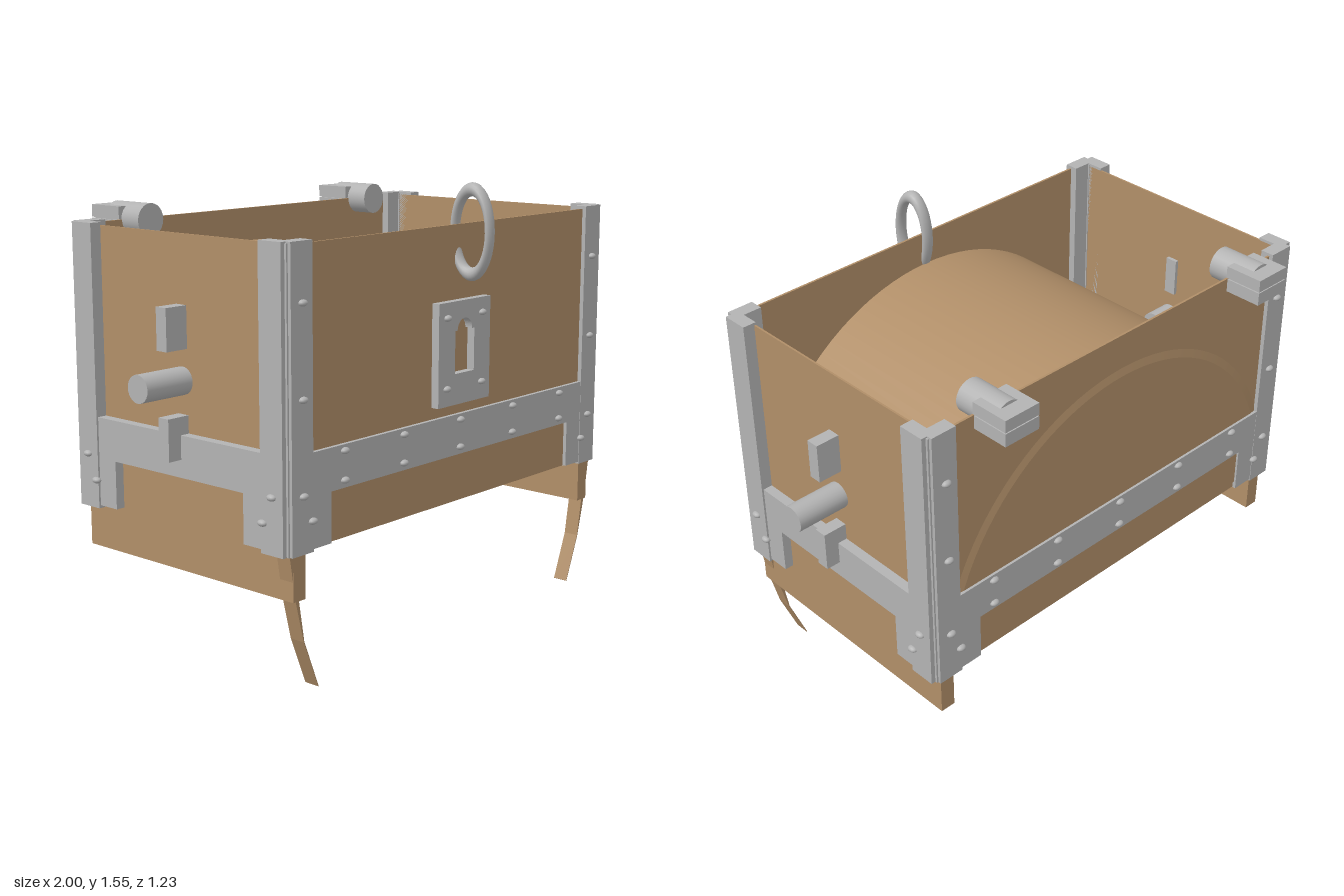
import * as THREE from 'three';

const wood = new THREE.MeshStandardMaterial({ color: 0xb08e68 });
wood.name = 'wood';
const iron = new THREE.MeshStandardMaterial({ color: 0xb3b3b3 });
iron.name = 'iron';

export function createModel() {
  const root = new THREE.Group();
  root.name = 'chest';

  const add = (name, geometry, material, x = 0, y = 0, z = 0) => {
    const mesh = new THREE.Mesh(geometry, material);
    mesh.name = name;
    mesh.position.set(x, y, z);
    root.add(mesh);
    return mesh;
  };
  // Box given by its limits on each axis
  const slab = (name, material, x0, x1, y0, y1, z0, z1) =>
    add(name, new THREE.BoxGeometry(Math.abs(x1 - x0), y1 - y0, Math.abs(z1 - z0)), material,
      (x0 + x1) / 2, (y0 + y1) / 2, (z0 + z1) / 2);
  // Flattened rivet heads, wider along the plate than tall
  const rivetGeo = new THREE.SphereGeometry(1, 12, 8);
  const rivet = (x, y, z) => add('rivet', rivetGeo, iron, x, y, z).scale.set(0.018, 0.011, 0.014);
  const sideRivet = (x, y, z) => add('rivet', rivetGeo, iron, x, y, z).scale.set(0.014, 0.011, 0.018);

  // Floor and arched inner barrel
  slab('floor', wood, -0.77, 0.77, 0.46, 0.49, -0.474, 0.474);
  const halfBarrel = (name, rFront, rBack, z0, z1) => {
    const g = new THREE.CylinderGeometry(rFront, rBack, z1 - z0, 48, 1, false, Math.PI / 2, Math.PI);
    g.rotateX(Math.PI / 2);
    add(name, g, wood, 0, 0.49, (z0 + z1) / 2);
  };
  halfBarrel('barrel', 0.8, 0.8, -0.479, 0.479);
  halfBarrel('barrelRim', 0.8, 0.765, -0.485, -0.479);

  // Front and back walls with their bands, feet and rivets
  for (const s of [1, -1]) {
    slab('endWall', wood, -0.81, 0.81, 0.465, 1.41, s * 0.472, s * 0.48);
    slab('longBand', iron, -0.83, 0.83, 0.63, 0.77, s * 0.478, s * 0.494);
    for (const x of [-0.59, -0.3, 0, 0.3, 0.59])
      for (const y of [0.655, 0.75]) rivet(x, y, s * 0.496);
  }

  for (const s of [1, -1]) {
    // Side walls, with a thick board below
    slab('sideWall', wood, s * 0.803, s * 0.81, 0.46, 1.41, -0.478, 0.478);
    slab('sideBoard', wood, s * 0.757, s * 0.812, 0.305, 0.63, -0.475, 0.48);
    slab('sideBand', iron, s * 0.806, s * 0.845, 0.63, 0.77, -0.475, 0.475);

    // Corner posts: two plates around a recessed core
    for (const t of [1, -1]) {
      slab('postFace', iron, s * 0.735, s * 0.83, 0.455, 1.42, t * 0.445, t * 0.495);
      slab('postSide', iron, s * 0.803, s * 0.852, 0.455, 1.42, t * 0.382, t * 0.476);
      slab('postCore', iron, s * 0.80, s * 0.836, 0.455, 1.415, t * 0.44, t * 0.484);
      slab('faceFoot', iron, s * 0.65, s * 0.83, 0.463, 0.64, t * 0.476, t * 0.493);
      slab('sideFoot', iron, s * 0.806, s * 0.845, 0.465, 0.64, t * 0.30, t * 0.475);
      for (const y of [0.64, 0.94, 1.235]) rivet(s * 0.78, y, t * 0.497);
      rivet(s * 0.74, 0.555, t * 0.497);
      sideRivet(s * 0.853, 0.64, t * 0.43);
      sideRivet(s * 0.853, 0.553, t * 0.39);
    }

    // Pivot pin and the two lugs beside it
    const pin = new THREE.CylinderGeometry(0.046, 0.046, 0.295, 24);
    pin.rotateZ(Math.PI / 2);
    add('pivotPin', pin, iron, s * 0.8525, 0.94, 0);
    slab('upperLug', iron, s * 0.79, s * 0.897, 1.045, 1.185, -0.023, 0.023);
    slab('lowerLug', iron, s * 0.79, s * 0.897, 0.69, 0.83, -0.023, 0.023);

    // Hinge barrel and block on the back edge
    const hinge = new THREE.CylinderGeometry(0.057, 0.057, 0.17, 24);
    hinge.rotateX(Math.PI / 2);
    add('hingeBarrel', hinge, iron, s * 0.582, 1.41, -0.475);
    slab('hingeUpperLeaf', iron, s * 0.512, s * 0.65, 1.412, 1.455, -0.615, -0.475);
    slab('hingeLowerLeaf', iron, s * 0.512, s * 0.65, 1.362, 1.408, -0.615, -0.475);
    slab('hingeCore', iron, s * 0.52, s * 0.642, 1.40, 1.42, -0.608, -0.48);

    // Curved tapering strap under the front corner
    const strap = new THREE.Shape([
      [0.83, 0.48], [0.802, 0.31], [0.766, 0.165], [0.70, 0], [0.698, 0.001],
      [0.763, 0.167], [0.787, 0.31], [0.785, 0.48],
    ].map(([x, y]) => new THREE.Vector2(s * x, y)));
    add('strap', new THREE.ExtrudeGeometry(strap, { depth: 0.055, bevelEnabled: false }), wood, 0, 0, 0.424);
  }

  // Lock plate with an arched keyhole
  const plate = new THREE.Shape([[-0.14, 0.81], [0.14, 0.81], [0.14, 1.16], [-0.14, 1.16]]
    .map(([x, y]) => new THREE.Vector2(x, y)));
  const hole = new THREE.Path();
  hole.moveTo(-0.052, 0.915);
  hole.lineTo(-0.052, 1.06);
  hole.lineTo(-0.04, 1.06);
  hole.absarc(0, 1.06, 0.04, Math.PI, 0, true);
  hole.lineTo(0.052, 1.06);
  hole.lineTo(0.052, 0.915);
  hole.closePath();
  plate.holes.push(hole);
  add('lockPlate', new THREE.ExtrudeGeometry(plate, { depth: 0.03, bevelEnabled: false }), iron, 0, 0, 0.479);
  for (const x of [-0.095, 0.095]) for (const y of [0.87, 1.108]) rivet(x, y, 0.509);

  // Oval pull ring through the top of the front wall
  const ring = new THREE.TorusGeometry(0.14, 0.023, 16, 40);
  ring.rotateY(Math.PI / 2);
  add('pullRing', ring, iron, 0, 1.387, 0.533).scale.z = 0.51;

  return root;
}
